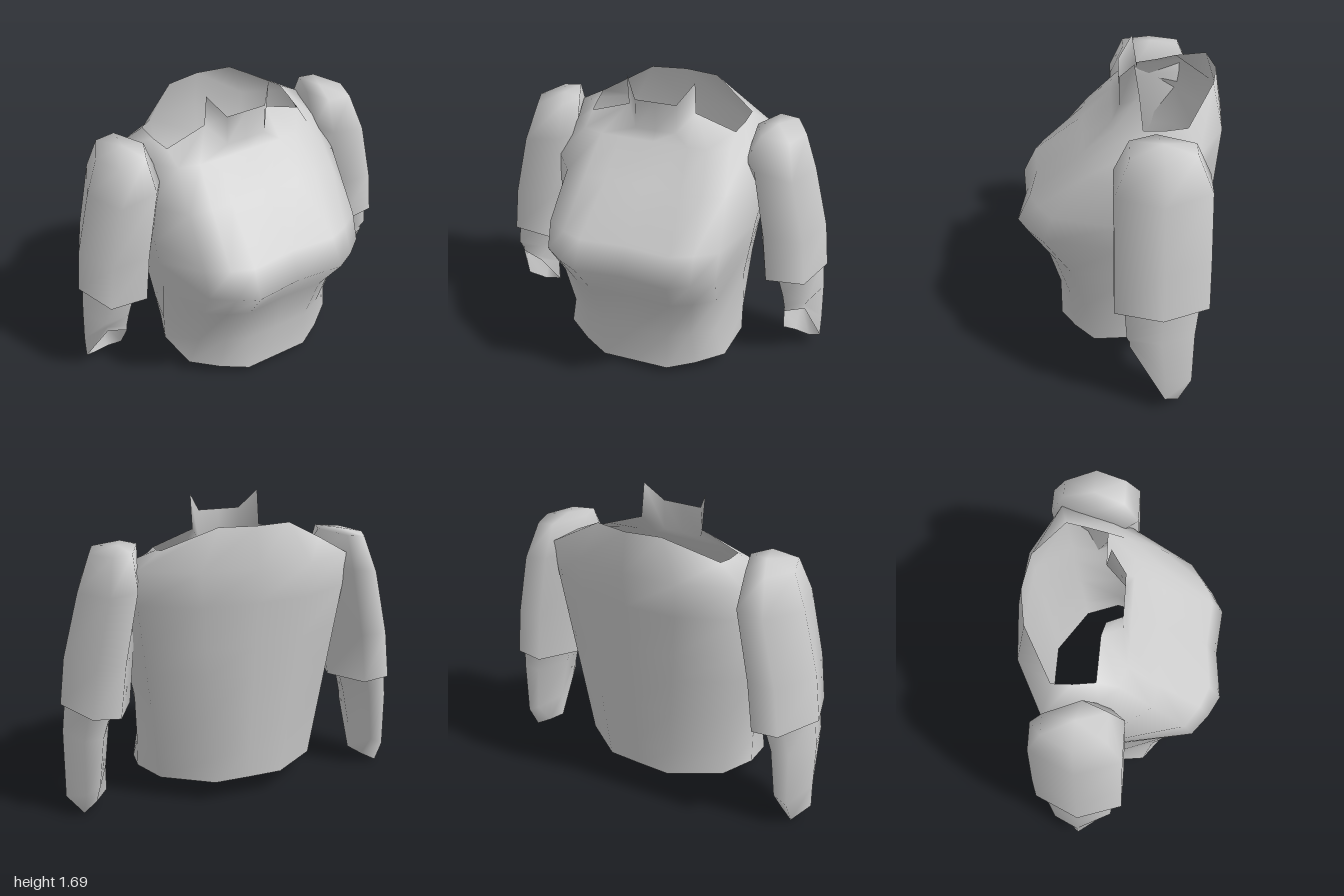
import * as THREE from 'three';
import { mergeGeometries, mergeVertices } from 'three/addons/utils/BufferGeometryUtils.js';

const cloth = new THREE.MeshStandardMaterial({ color: 0xcccccc, side: THREE.DoubleSide });
cloth.name = 'light grey cloth';

// Skin over cross-sections listed bottom to top, each running front -> +x -> back
function loft(rings, closed = true, cap = null) {
  const n = rings[0].length, pos = rings.flat(2), index = [];
  const cols = closed ? n : n - 1;
  for (let r = 0; r < rings.length - 1; r++) {
    for (let i = 0; i < cols; i++) {
      const a = r * n + i, b = r * n + (i + 1) % n;
      index.push(a, b, b + n, a, b + n, a + n);
    }
  }
  if (cap) {
    const top = (rings.length - 1) * n;
    pos.push(...cap);
    for (let i = 0; i < n; i++) index.push(top + i, top + (i + 1) % n, top + n);
  }
  const geo = new THREE.BufferGeometry();
  geo.setAttribute('position', new THREE.Float32BufferAttribute(pos, 3));
  geo.setIndex(index);
  return geo;
}

// Smooth mesh, with all pieces welded where they touch
function part(name, ...pieces) {
  const geo = mergeVertices(mergeGeometries(pieces));
  geo.computeVertexNormals();
  const mesh = new THREE.Mesh(geo, cloth);
  mesh.name = name;
  return mesh;
}

const flip = ([x, y, z]) => [-x, y, z];
// Complete a half ring that starts and ends on the centre line
const fullRing = half => [...half, ...half.slice(1, -1).reverse().map(flip)];
// Limb rings for the other side, keeping the winding
const mirrorRing = ring => ring.map(flip).reverse();

// Half section of the torso; the back leans and widens steadily with height
function torsoHalf([y, frontX, frontZ, chestX, chestZ, sideX, sideZ]) {
  return [
    [0, y, frontZ - (frontX - 0.2) * 0.4],
    [frontX, y, frontZ],
    [(frontX + chestX) / 2, y, (frontZ + chestZ) / 2 + 0.015],
    [chestX, y, chestZ],
    [sideX, y, sideZ],
    [Math.min(0.45 + 0.13 * y, 0.61), y, -0.27 - 0.09 * y],
    [0.19 + 0.09 * y, y, -0.45 - 0.07 * y],
    [0, y, -0.45 - 0.09 * y],
  ];
}

// Levels: height, front x z, chest x z, flank x z
const torsoLevels = [
  [0.12, 0.2, 0.35, 0.5, 0.15, 0.54, -0.08],
  [0.28, 0.2, 0.35, 0.45, 0.2, 0.54, -0.08],
  [0.55, 0.24, 0.42, 0.47, 0.28, 0.54, -0.05],
  [0.775, 0.27, 0.575, 0.5, 0.42, 0.58, 0],
  [0.93, 0.26, 0.5, 0.5, 0.37, 0.6, 0],
  [1.17, 0.22, 0.21, 0.47, 0.18, 0.6, 0],
  [1.36, 0.2, 0.04, 0.43, 0, 0.52, -0.1],
];
// Hem dips towards the front
const dipHem = ([x, y, z]) => [x, y - 0.19 * Math.max(0, z + 0.08), z];

// Neck opening, front centre to back centre
const neck = [
  [0, 1.41, 0], [0.12, 1.41, 0], [0.2, 1.5, -0.11], [0.43, 1.42, -0.12],
  [0.45, 1.43, -0.24], [0.46, 1.45, -0.35], [0.2, 1.58, -0.5], [0, 1.58, -0.535],
];

// Collar standing at the front of the neck, running from -x to +x
const collarTop = [[0, 1.58, 0], [0.12, 1.58, 0], [0.2, 1.69, -0.08]];
const collar = [neck.slice(0, 3), collarTop]
  .map(half => [...half.slice(1).reverse().map(flip), ...half]);

// Six-sided limb section from inner/outer x and height, front/back/inner z
function limbRing([innerX, outerX, innerY, outerY, frontZ, backZ, innerZ]) {
  const at = (t, z) => [
    THREE.MathUtils.lerp(innerX, outerX, t), THREE.MathUtils.lerp(innerY, outerY, t), z];
  return [at(0.2, frontZ), at(0.78, frontZ), at(1, (frontZ + backZ) / 2),
    at(0.7, backZ), at(0.3, backZ), at(0, innerZ)];
}

const sleeve = [
  [0.615, 1, 0.58, 0.62, 0.04, -0.46, -0.22],
  [0.58, 0.97, 0.88, 0.88, 0.04, -0.46, -0.2],
  [0.51, 0.88, 1.29, 1.23, 0.04, -0.46, -0.06],
  [0.54, 0.81, 1.46, 1.43, -0.04, -0.38, -0.18],
].map(limbRing);

// Forearm ends in a slanted open cuff
const cuff = [
  [0.8, 0.34, -0.04], [0.92, 0.39, -0.04], [1, 0.08, -0.23],
  [0.92, 0, -0.31], [0.84, 0.04, -0.28], [0.77, 0.08, -0.23],
];
// Wrist widens the cuff at the back
const wrist = cuff.map(([x, y, z]) => z < -0.1
  ? [x, y + 0.14, z < -0.25 ? -0.38 : z]
  : [x, y + 0.03, z]);
const forearm = [cuff, wrist, ...[
  [0.735, 0.995, 0.46, 0.46, -0.025, -0.385, -0.2],
  [0.67, 0.975, 0.66, 0.66, -0.01, -0.41, -0.2],
].map(limbRing)];

export function createModel() {
  const group = new THREE.Group();
  group.name = 'shirt';
  const [hem, ...body] = torsoLevels.map(torsoHalf);
  const torso = loft([hem.map(dipHem), ...body, neck].map(fullRing));
  group.add(part('torsoWithCollar', torso, loft(collar, false)));

  // Arms on both sides
  const cap = [0.65, 1.465, -0.21];
  group.add(part('leftSleeve', loft(sleeve, true, cap)));
  group.add(part('leftForearm', loft(forearm)));
  group.add(part('rightSleeve', loft(sleeve.map(mirrorRing), true, flip(cap))));
  group.add(part('rightForearm', loft(forearm.map(mirrorRing))));
  return group;
}
